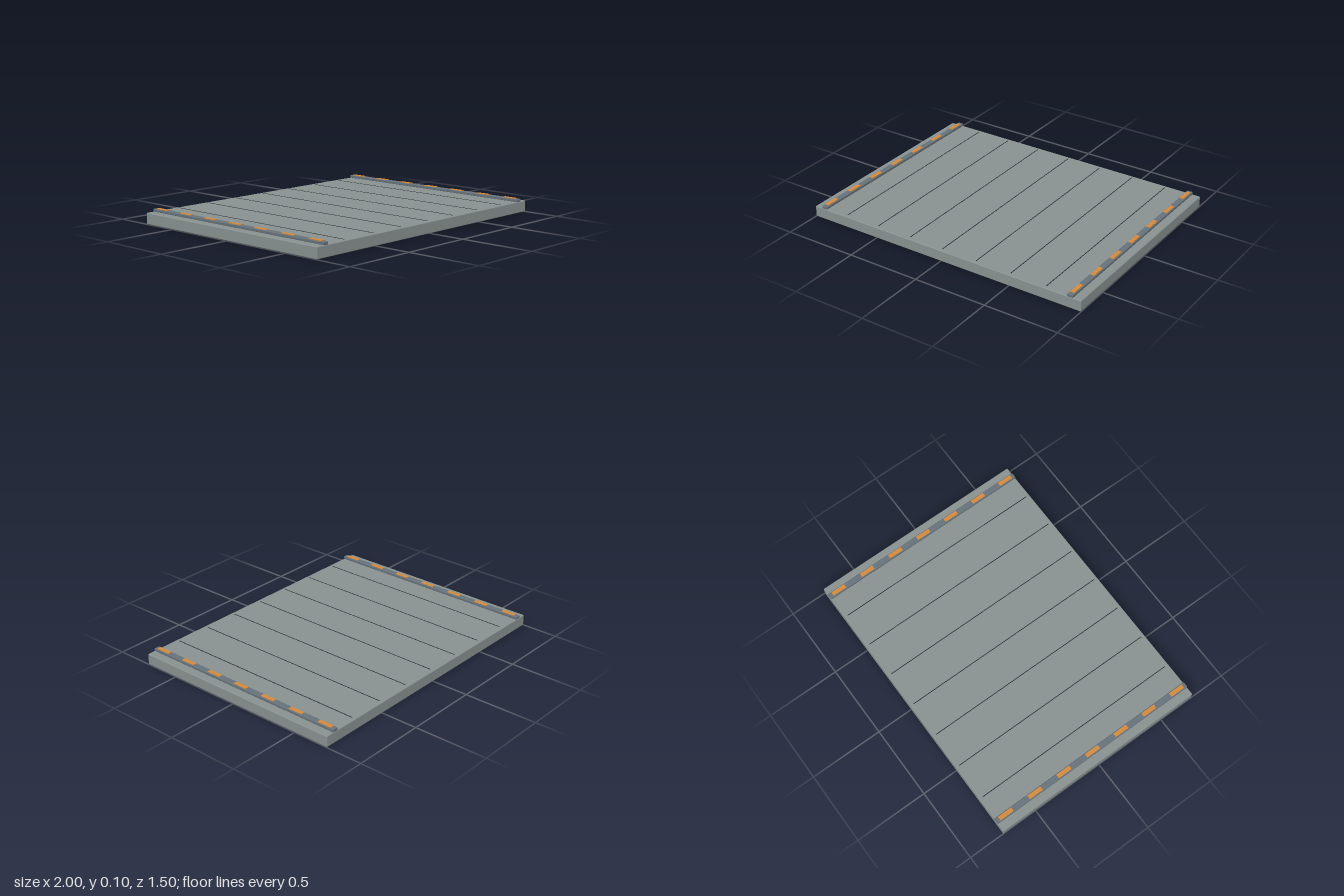
import * as THREE from 'three';
import { RoundedBoxGeometry } from 'three/addons/geometries/RoundedBoxGeometry.js';

const material = (color) => new THREE.MeshStandardMaterial({ color });

export function createModel() {
  const model = new THREE.Group();
  const slabMaterial = material(0x899191);
  const railMaterial = material(0x66727a);
  const seamMaterial = material(0x2c3437);
  const markerMaterial = material(0xd38a3e);

  const add = (name, geometry, mat, x, y, z) => {
    const mesh = new THREE.Mesh(geometry, mat);
    mesh.name = name;
    mesh.position.set(x, y, z);
    model.add(mesh);
  };

  // Deck slab with softened edges
  add('deckSlab', new RoundedBoxGeometry(2, 0.075, 1.5, 2, 0.006), slabMaterial, 0, 0.0375, 0);

  // Thin panel seams running front to back
  const seam = new THREE.BoxGeometry(0.005, 0.004, 1.45);
  for (let i = -3; i <= 3; i++) add('panelSeam', seam, seamMaterial, i * 0.25, 0.0748, 0);

  // Edge rails with a row of coloured markers on each
  const rail = new RoundedBoxGeometry(0.04, 0.02, 1.5, 2, 0.005);
  const marker = new THREE.BoxGeometry(0.028, 0.006, 0.1);
  for (const side of [-1, 1]) {
    add('edgeRail', rail, railMaterial, side * 0.925, 0.083, 0);
    for (let i = -3; i <= 3; i++) {
      add('railMarker', marker, markerMaterial, side * 0.925, 0.0935, i * 0.225);
    }
  }
  return model;
}
